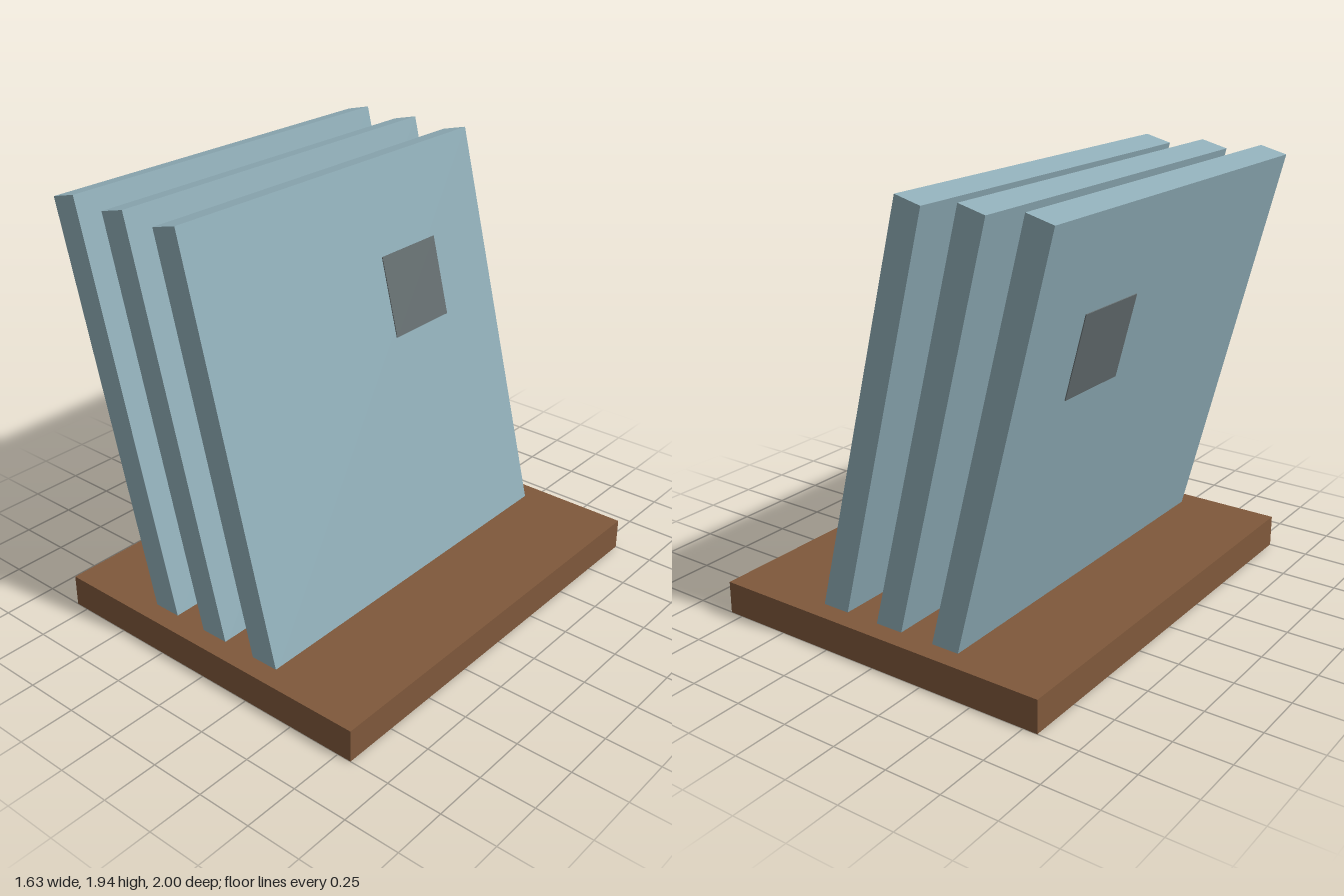
import * as THREE from 'three';

export function createModel() {
  const model = new THREE.Group();
  model.name = 'leaningPanels';
  const material = (name, color) => {
    const m = new THREE.MeshStandardMaterial({ color });
    m.name = name;
    return m;
  };
  const brown = material('woodBrown', 0x7f583b);
  const blue = material('paleBlue', 0x90aeb8);
  const grey = material('slateGrey', 0x656e70);

  const box = (parent, name, mat, size, pos) => {
    const mesh = new THREE.Mesh(new THREE.BoxGeometry(...size), mat);
    mesh.name = name;
    mesh.position.set(...pos);
    parent.add(mesh);
  };

  // Flat base slab
  box(model, 'base', brown, [1.63, 0.147, 2], [0, 0.0735, 0]);

  // Three parallel slabs leaning toward -x, feet sunk into the base
  const thickness = 0.126;
  for (let i = 0; i < 3; i++) {
    const slab = new THREE.Group();
    slab.name = `leaningPanel${i + 1}`;
    slab.position.set(-0.524 + i * 0.29, 1.02, 0);
    slab.rotation.z = THREE.MathUtils.degToRad(14);
    box(slab, 'panel', blue, [thickness, 1.87, 1.815], [0, 0, 0]);
    // Thin square patch on each broad face
    for (const side of [-1, 1]) {
      box(slab, 'patch', grey, [0.008, 0.365, 0.365], [side * thickness / 2, 0.333, -0.365]);
    }
    model.add(slab);
  }
  return model;
}
